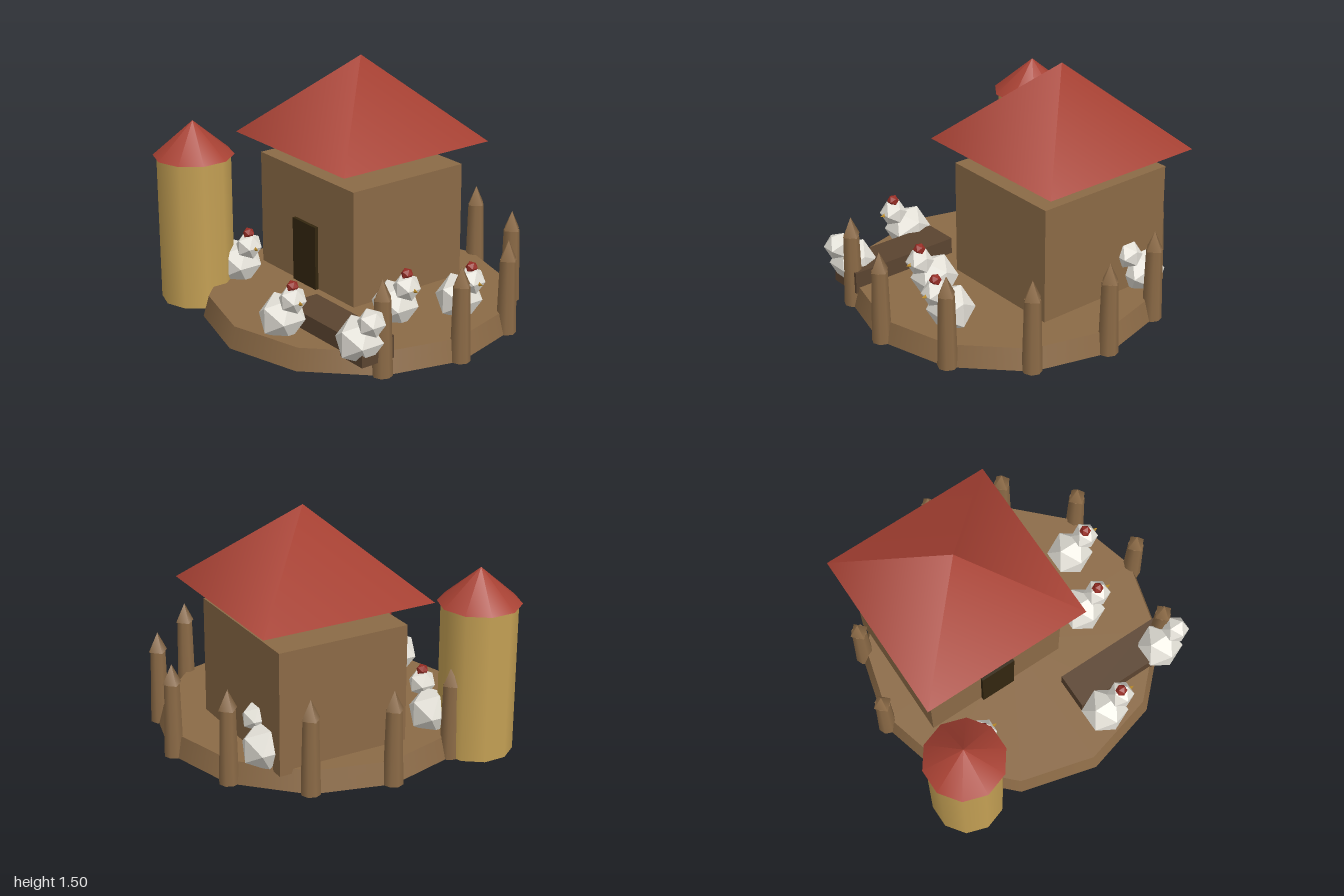
import * as THREE from 'three';

const mat = (name, color) => {
  const m = new THREE.MeshStandardMaterial({ color });
  m.name = name;
  return m;
};

export function createModel() {
  const model = new THREE.Group();
  model.name = 'farmyard';

  const wood = mat('wood brown', 0x8b6a46);
  const darkWood = mat('trough brown', 0x5b4430);
  const doorWood = mat('door brown', 0x33260f);
  const tile = mat('roof red', 0xa84133);
  const straw = mat('tower tan', 0xc4a054);
  const feather = mat('feather white', 0xe2dfd6);
  feather.flatShading = true;
  const combRed = mat('comb red', 0x962c24);
  combRed.flatShading = true;
  const beakYellow = mat('beak yellow', 0xc4922e);

  const add = (parent, name, geometry, material, x, y, z) => {
    const mesh = new THREE.Mesh(geometry, material);
    mesh.name = name;
    mesh.position.set(x, y, z);
    parent.add(mesh);
    return mesh;
  };
  const box = (name, material, x0, x1, y0, y1, z0, z1) =>
    add(model, name, new THREE.BoxGeometry(x1 - x0, y1 - y0, z1 - z0), material,
      (x0 + x1) / 2, (y0 + y1) / 2, (z0 + z1) / 2);

  // Twelve-sided ground platform
  const centreZ = 0.016;
  add(model, 'platform', new THREE.CylinderGeometry(0.915, 0.95, 0.13, 12), wood, 0, 0.065, centreZ);

  // Fence posts at the platform corners, open at the front
  const postGeometry = new THREE.CylinderGeometry(0.048, 0.06, 0.46, 8);
  const tipGeometry = new THREE.ConeGeometry(0.06, 0.12, 4);
  for (let i = 2; i <= 10; i++) {
    const a = (i * Math.PI) / 6;
    const post = new THREE.Group();
    post.name = 'fencePost';
    post.position.set(0.933 * Math.sin(a), 0, centreZ + 0.933 * Math.cos(a));
    add(post, 'postShaft', postGeometry, wood, 0, 0.23, 0);
    add(post, 'postTip', tipGeometry, wood, 0, 0.52, 0);
    model.add(post);
  }

  // House with a raised pyramid roof
  box('houseWalls', wood, -0.72, 0.214, 0.1, 0.853, -0.6, 0.228);
  box('door', doorWood, -0.363, -0.135, 0.13, 0.533, 0.2, 0.25);
  const roof = add(model, 'houseRoof', new THREE.ConeGeometry(0.773, 0.515, 4), tile, -0.252, 1.2475, -0.19);
  roof.rotation.y = Math.PI / 4;

  // Round silo tower
  add(model, 'tower', new THREE.CylinderGeometry(0.225, 0.225, 0.935, 10), straw, -0.768, 0.4675, 0.686);
  add(model, 'towerRoof', new THREE.ConeGeometry(0.247, 0.215, 10), tile, -0.768, 1.0275, 0.686);

  // Feeding trough
  box('trough', darkWood, 0.107, 0.83, 0.095, 0.233, 0.418, 0.643);

  // Hens facing +x: [x, z, has comb and beak]
  const bodyGeometry = new THREE.IcosahedronGeometry(0.145, 0);
  const headGeometry = new THREE.IcosahedronGeometry(0.085, 0);
  const combGeometry = new THREE.IcosahedronGeometry(0.037, 0);
  const beakGeometry = new THREE.ConeGeometry(0.022, 0.05, 4);
  const hens = [
    [0.62, -0.24, true], [0.467, 0.118, true], [0.21, 0.74, true],
    [-0.617, 0.475, true], [0.732, 0.585, false], [-0.546, -0.605, false],
  ];
  for (const [x, z, detailed] of hens) {
    const hen = new THREE.Group();
    hen.name = 'hen';
    hen.position.set(x, 0, z);
    add(hen, 'henBody', bodyGeometry, feather, 0, 0.218, 0);
    add(hen, 'henHead', headGeometry, feather, 0.107, 0.357, 0);
    if (detailed) {
      add(hen, 'henComb', combGeometry, combRed, 0.107, 0.438, 0);
      const beak = add(hen, 'henBeak', beakGeometry, beakYellow, 0.181, 0.355, 0);
      beak.rotation.z = -Math.PI / 2;
    }
    model.add(hen);
  }

  return model;
}
